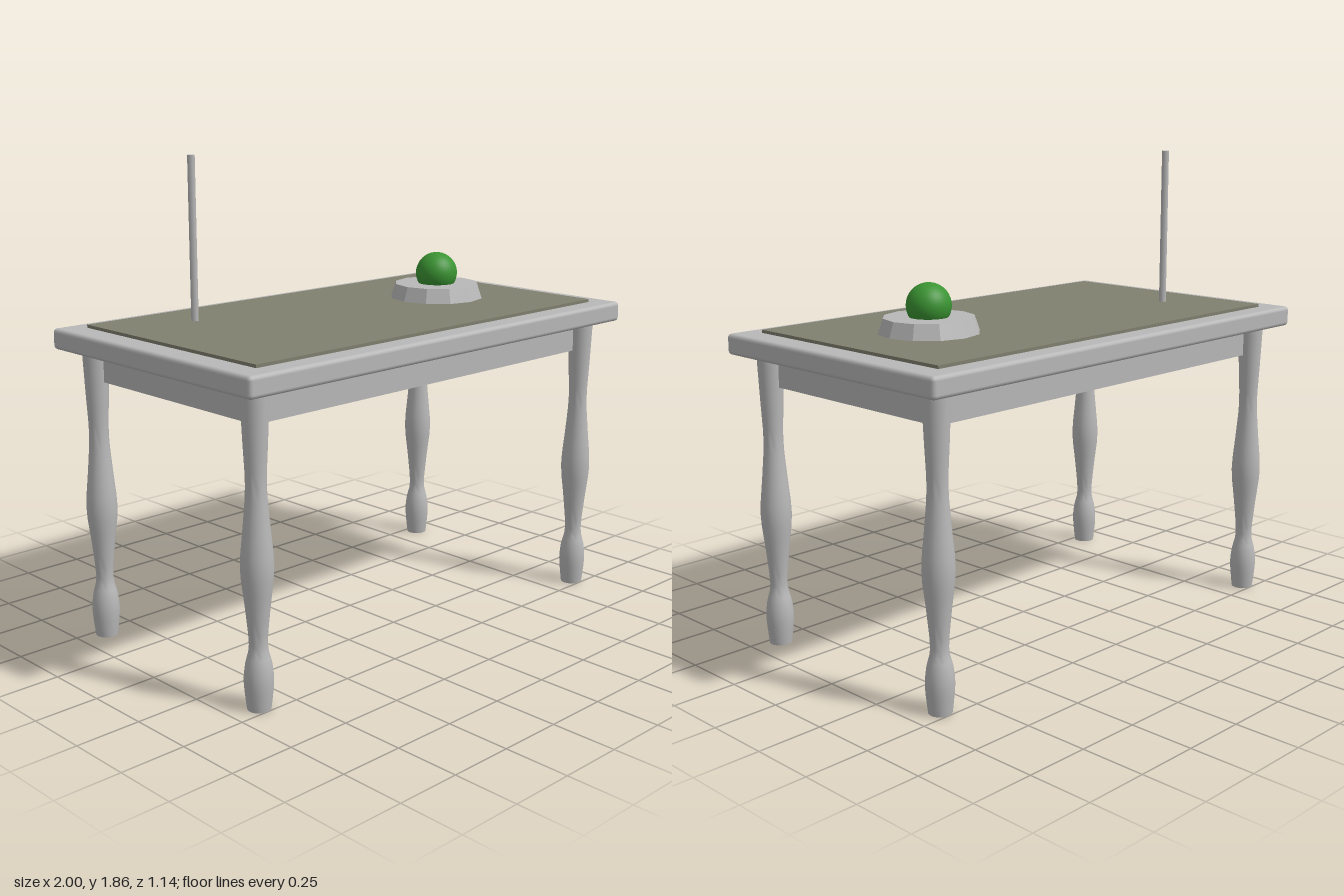
import * as THREE from 'three';
import { RoundedBoxGeometry } from 'three/addons/geometries/RoundedBoxGeometry.js';
import { toCreasedNormals } from 'three/addons/utils/BufferGeometryUtils.js';

const material = (name, color) => {
  const m = new THREE.MeshStandardMaterial({ color });
  m.name = name;
  return m;
};

export function createModel() {
  const group = new THREE.Group();
  group.name = 'table';
  const grey = material('grey', 0xb8b8b8);
  const olive = material('olive', 0x80806f);
  const green = material('green', 0x3b9433);

  const add = (name, geometry, mat, x, y, z) => {
    const mesh = new THREE.Mesh(geometry, mat);
    mesh.name = name;
    mesh.position.set(x, y, z);
    group.add(mesh);
    return mesh;
  };

  // Table top with softened edges, solid apron and thin writing pad
  add('tableTop', new RoundedBoxGeometry(2, 0.08, 1.14, 2, 0.016), grey, 0, 1.18, 0);
  add('apron', new THREE.BoxGeometry(1.77, 0.13, 0.915), grey, 0, 1.085, 0);
  add('deskPad', new THREE.BoxGeometry(1.8, 0.02, 0.97), olive, 0, 1.222, 0);

  // Turned legs: [radius, height] knots smoothed along a curve
  const knots = [
    [0.043, 0], [0.053, 0.1], [0.047, 0.17], [0.033, 0.24], [0.045, 0.38],
    [0.059, 0.52], [0.047, 0.67], [0.037, 0.81], [0.043, 0.96], [0.051, 1.145],
  ].map(([r, y]) => new THREE.Vector2(r, y));
  const profile = [
    new THREE.Vector2(0, 0),
    ...new THREE.SplineCurve(knots).getPoints(27),
    new THREE.Vector2(0, 1.145),
  ];
  const legGeometry = toCreasedNormals(new THREE.LatheGeometry(profile, 20), 0.7);
  for (const [sz, end] of [[1, 'front'], [-1, 'back']]) {
    for (const [sx, side] of [[1, 'Left'], [-1, 'Right']]) {
      add(`${end}${side}Leg`, legGeometry, grey, sx * 0.886, 0, sz * 0.458);
    }
  }

  // Twelve-sided plate with a ball resting in it
  const plate = toCreasedNormals(new THREE.CylinderGeometry(0.173, 0.195, 0.065, 12), 0.1);
  add('plate', plate, grey, 0.5, 1.2575, 0);
  add('ball', new THREE.SphereGeometry(0.085, 32, 20), green, 0.5, 1.332, 0);

  // Slim upright rod hovering just above the pad
  add('rod', new THREE.CylinderGeometry(0.014, 0.014, 0.615, 8), grey, -0.603, 1.5525, -0.213);

  return group;
}
